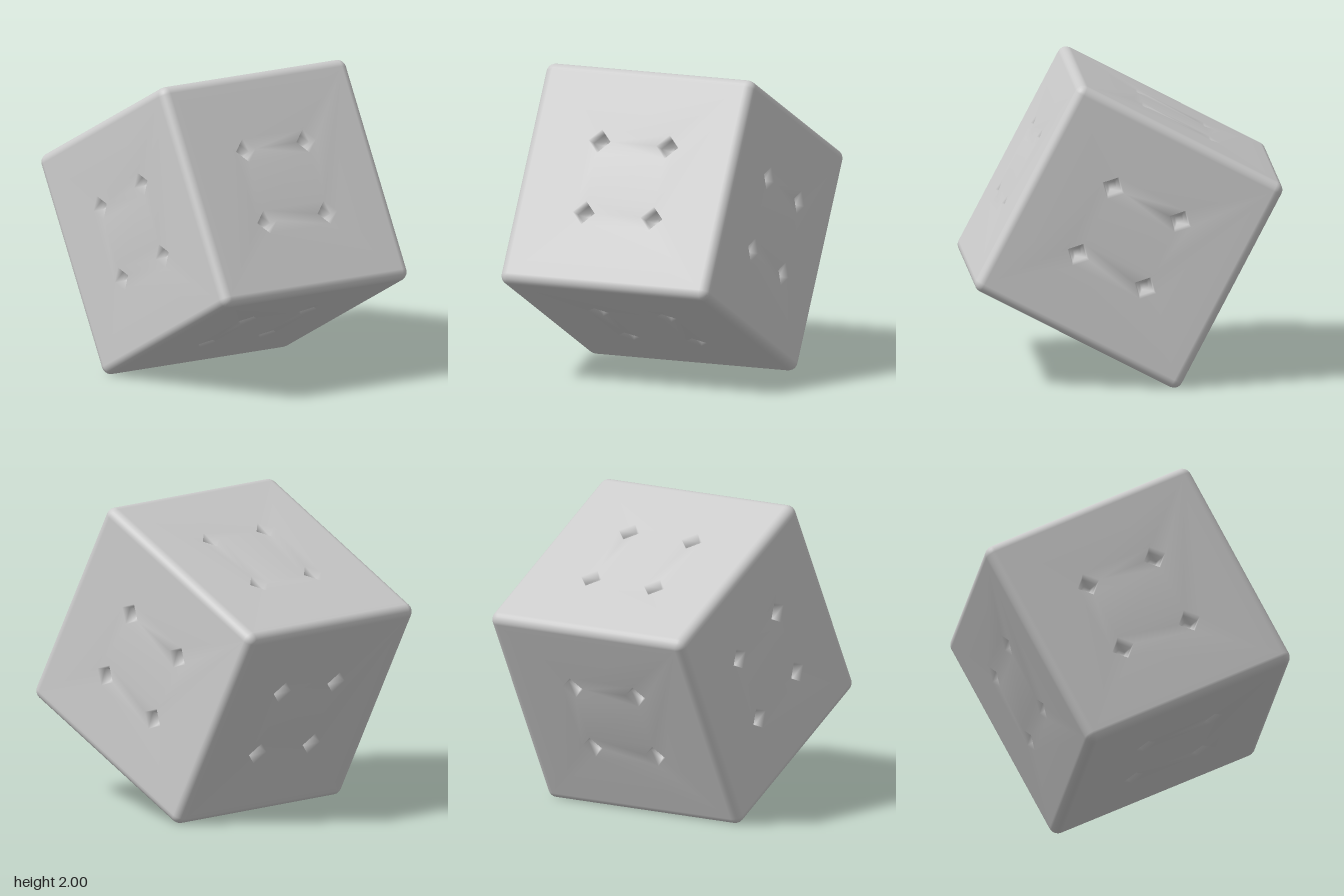
import * as THREE from 'three';
import { mergeGeometries, mergeVertices } from 'three/addons/utils/BufferGeometryUtils.js';
import { RoundedBoxGeometry } from 'three/addons/geometries/RoundedBoxGeometry.js';

const HALF = 0.755;    // half the cube's side
const RADIUS = 0.06;   // rounding of the edges
const FLAT = HALF - RADIUS;
const PIT = 0.245;     // offset of each pit from the face centre
const PIT_R = 0.08;    // half diagonal of a pit

// Rounded edges and corners: a rounded box without its flat faces
function edgeGeometry() {
  const box = new RoundedBoxGeometry(2 * HALF, 2 * HALF, 2 * HALF, 3, RADIUS);
  const src = box.index ? box.toNonIndexed() : box;
  const p = src.attributes.position, n = src.attributes.normal;
  const pos = [], nor = [];
  for (let i = 0; i < p.count; i += 3) {
    const flat = ['getX', 'getY', 'getZ'].some((get) =>
      [0, 1, 2].every((k) => Math.abs(Math.abs(p[get](i + k)) - HALF) < 1e-4));
    if (flat) continue;
    for (let k = i; k < i + 3; k++) {
      pos.push(p.getX(k), p.getY(k), p.getZ(k));
      nor.push(n.getX(k), n.getY(k), n.getZ(k));
    }
  }
  const geo = new THREE.BufferGeometry();
  geo.setAttribute('position', new THREE.Float32BufferAttribute(pos, 3));
  geo.setAttribute('normal', new THREE.Float32BufferAttribute(nor, 3));
  return geo;
}

// One face: a square with four diamond holes, each lined by a tapering pit
function faceGeometry() {
  const shape = new THREE.Shape([[-1, -1], [1, -1], [1, 1], [-1, 1]]
    .map(([x, y]) => new THREE.Vector2(x * FLAT, y * FLAT)));
  const parts = [];
  const profile = [[PIT_R, 0], [0.066, -0.06], [0.03, -0.1], [0, -0.105]]
    .map(([r, d]) => new THREE.Vector2(r, d));
  for (const x of [-PIT, PIT]) for (const y of [-PIT, PIT]) {
    shape.holes.push(new THREE.Path([[0, -1], [-1, 0], [0, 1], [1, 0]]
      .map(([u, v]) => new THREE.Vector2(x + u * PIT_R, y + v * PIT_R))));
    parts.push(new THREE.LatheGeometry(profile, 4).rotateX(Math.PI / 2).translate(x, y, 0));
  }
  parts.push(new THREE.ShapeGeometry(shape));
  for (const part of parts) {
    part.deleteAttribute('uv');
    part.deleteAttribute('normal');
  }
  // Shared corners give the soft shading around the pits
  const geo = mergeVertices(mergeGeometries(parts), 1e-4);
  geo.computeVertexNormals();
  return geo.translate(0, 0, HALF);
}

export function createModel() {
  const material = new THREE.MeshStandardMaterial({ color: 0xcccccc });
  const cube = new THREE.Group();
  cube.name = 'pittedCube';

  const edges = new THREE.Mesh(edgeGeometry(), material);
  edges.name = 'roundedEdges';
  cube.add(edges);

  const face = faceGeometry();
  const q = Math.PI / 2;
  const turns = {
    frontFace: [0, 0], backFace: [0, 2 * q], leftFace: [0, q],
    rightFace: [0, -q], topFace: [-q, 0], bottomFace: [q, 0],
  };
  for (const [name, [rx, ry]] of Object.entries(turns)) {
    const mesh = new THREE.Mesh(face, material);
    mesh.name = name;
    mesh.rotation.set(rx, ry, 0);
    cube.add(mesh);
  }

  // The cube leans on its lower edge
  cube.rotation.z = THREE.MathUtils.degToRad(27.6);
  cube.position.y = 1;

  const model = new THREE.Group();
  model.name = 'tiltedPittedCube';
  model.add(cube);
  return model;
}
